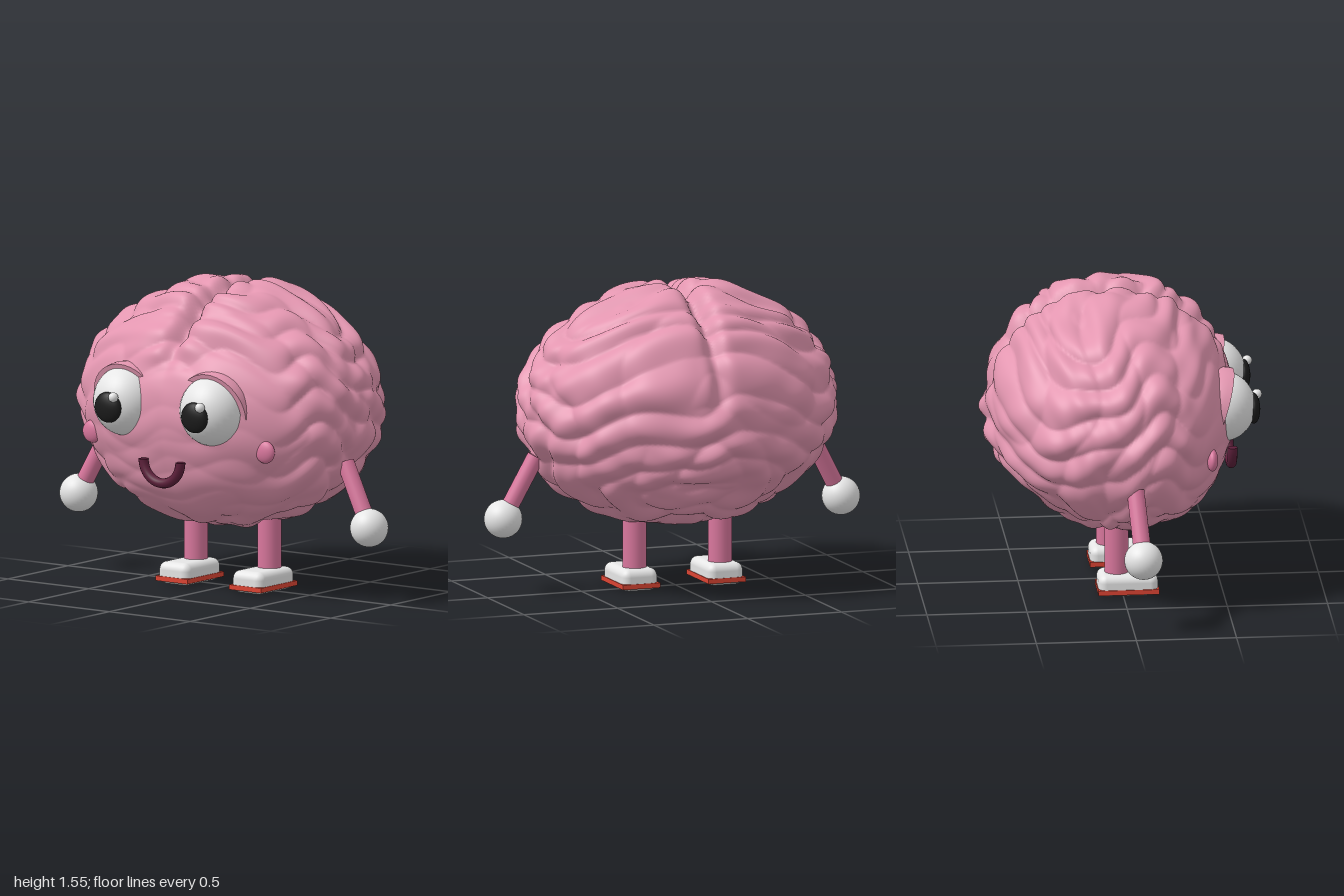
import * as THREE from 'three';
import { mergeVertices } from 'three/addons/utils/BufferGeometryUtils.js';
import { RoundedBoxGeometry } from 'three/addons/geometries/RoundedBoxGeometry.js';

const material = (name, color) => {
  const m = new THREE.MeshStandardMaterial({ color });
  m.name = name;
  return m;
};

// Folded body: an ellipsoid pushed in and out by warped waves, with a cleft between the halves
function brainGeometry() {
  const geo = new THREE.IcosahedronGeometry(1, 58);
  geo.deleteAttribute('uv');
  geo.deleteAttribute('normal');
  const brain = mergeVertices(geo, 1e-5);
  const pos = brain.attributes.position;
  const { sin, abs, exp } = Math;
  const step = THREE.MathUtils.smoothstep;
  for (let i = 0; i < pos.count; i++) {
    const x = pos.getX(i), y = pos.getY(i), z = pos.getZ(i);
    // the two halves differ a little and blend across the middle
    const side = 0.7 * (1 - step(x, -0.15, 0.15)), ax = Math.hypot(x, 0.08);
    // winding folds
    const a = 11 * (y + 0.2 * sin(4 * z + 2 * ax + 1 + side) + 0.09 * sin(9 * z - 6 * ax + side));
    const b = 9 * (z + 0.22 * sin(4 * y + 3 * ax + side) + 0.1 * sin(8 * ax + 5 * y));
    const folds = 0.039 * (abs(sin(a)) - 0.62) + 0.03 * (abs(sin(b)) - 0.62)
      + 0.01 * sin(17 * y + 6 * sin(3 * z + side)) * sin(15 * z + 4 * ax);
    // the face stays smooth
    const face = step(z, 0.45, 0.8) * (1 - step(y, 0.25, 0.6));
    // fuller under the chin, slimmer towards the back
    const shape = 0.085 * z * step(-y, 0.3, 0.8) + 0.05 * abs(x) * z - 0.006;
    // cleft over the top, fading down the back
    const cleft = Math.max(step(y, 0.3, 0.8), 0.5 * step(-z, 0.2, 0.7) * step(y, -0.05, 0.4));
    const groove = -0.14 * exp(-((x / 0.055) ** 2)) * cleft;
    const lobe = 0.03 * exp(-(((ax - 0.2) / 0.18) ** 2)) * step(y, 0.4, 0.9);
    const r = 1 + folds * (1 - 0.8 * face) + shape + groove + lobe;
    pos.setXYZ(i, 0.815 * x * r, 0.925 + 0.61 * y * r, -0.05 + 0.63 * z * r);
  }
  brain.computeVertexNormals();
  return brain;
}

export function createModel() {
  const model = new THREE.Group();
  model.name = 'brainCharacter';
  const skin = material('brainPink', 0xe396b0);
  const limb = material('limbPink', 0xd9779d);
  const white = material('white', 0xe6e6e6);
  const black = material('pupilBlack', 0x1b1b1b);
  const maroon = material('mouthMaroon', 0x5c1f3a);
  const red = material('soleRed', 0xdc4433);

  const add = (name, geo, mat, x, y, z, parent = model) => {
    const mesh = new THREE.Mesh(geo, mat);
    mesh.name = name;
    mesh.position.set(x, y, z);
    parent.add(mesh);
    return mesh;
  };
  const ball = (r) => new THREE.SphereGeometry(r, 32, 24);

  add('brain', brainGeometry(), skin, 0, 0, 0);

  // Smile: lower half ring with capped ends
  const smile = add('mouth', new THREE.TorusGeometry(0.114, 0.025, 12, 32, Math.PI), maroon, 0, 0.703, 0.562);
  smile.rotation.z = Math.PI;
  for (const s of [-1, 1]) {
    const cap = add('mouthEnd', new THREE.CircleGeometry(0.025, 12), maroon, s * 0.114, 0.703, 0.562);
    cap.rotation.x = -Math.PI / 2;
  }

  // Closed half ball for the eyelids
  const lidProfile = [new THREE.Vector2(0, 0)];
  for (let i = 0; i <= 12; i++) {
    const t = (i / 12) * Math.PI / 2;
    lidProfile.push(new THREE.Vector2(0.198 * Math.cos(t), 0.198 * Math.sin(t)));
    if (i === 0) lidProfile.push(lidProfile[1].clone());
  }
  const lidGeo = new THREE.LatheGeometry(lidProfile, 40);

  for (const s of [-1, 1]) {
    const name = s > 0 ? 'left' : 'right';

    // Eye with lid, pupil and glint
    const eye = new THREE.Group();
    eye.name = name + 'Eye';
    eye.position.set(s * 0.268, 0.972, 0.495);
    model.add(eye);
    add('eyeball', ball(1), white, 0, 0, 0, eye).scale.set(0.168, 0.176, 0.167);
    add('eyelid', lidGeo, skin, 0, 0, 0, eye).rotation.x = -1.27;
    add('pupil', ball(1), black, 0, -0.015, 0.156, eye).scale.set(0.079, 0.077, 0.034);
    add('glint', ball(0.025), white, 0.049, 0.043, 0.178, eye);

    // Cheek
    const cheek = add(name + 'Cheek', ball(1), limb, s * 0.535, 0.78, 0.422);
    cheek.scale.set(0.057, 0.057, 0.028);

    // Arm and hand
    const shoulder = new THREE.Vector3(s * 0.735, 0.695, 0.02);
    const wrist = new THREE.Vector3(s * 0.9, 0.385, 0.045);
    const along = shoulder.clone().sub(wrist);
    const mid = shoulder.clone().add(wrist).multiplyScalar(0.5);
    const arm = add(name + 'Arm', new THREE.CylinderGeometry(0.044, 0.044, along.length(), 24), limb, mid.x, mid.y, mid.z);
    arm.quaternion.setFromUnitVectors(new THREE.Vector3(0, 1, 0), along.normalize());
    add(name + 'Hand', ball(0.096), white, wrist.x, wrist.y, wrist.z);

    // Leg, shoe and sole
    add(name + 'Leg', new THREE.CylinderGeometry(0.06, 0.06, 0.36, 24), limb, s * 0.228, 0.27, -0.028);
    add(name + 'Shoe', new RoundedBoxGeometry(0.19, 0.113, 0.298, 3, 0.04), white, s * 0.228, 0.0565, 0.025);
    add(name + 'Sole', new THREE.BoxGeometry(0.198, 0.025, 0.304), red, s * 0.228, 0.028, 0.025);
  }
  return model;
}
